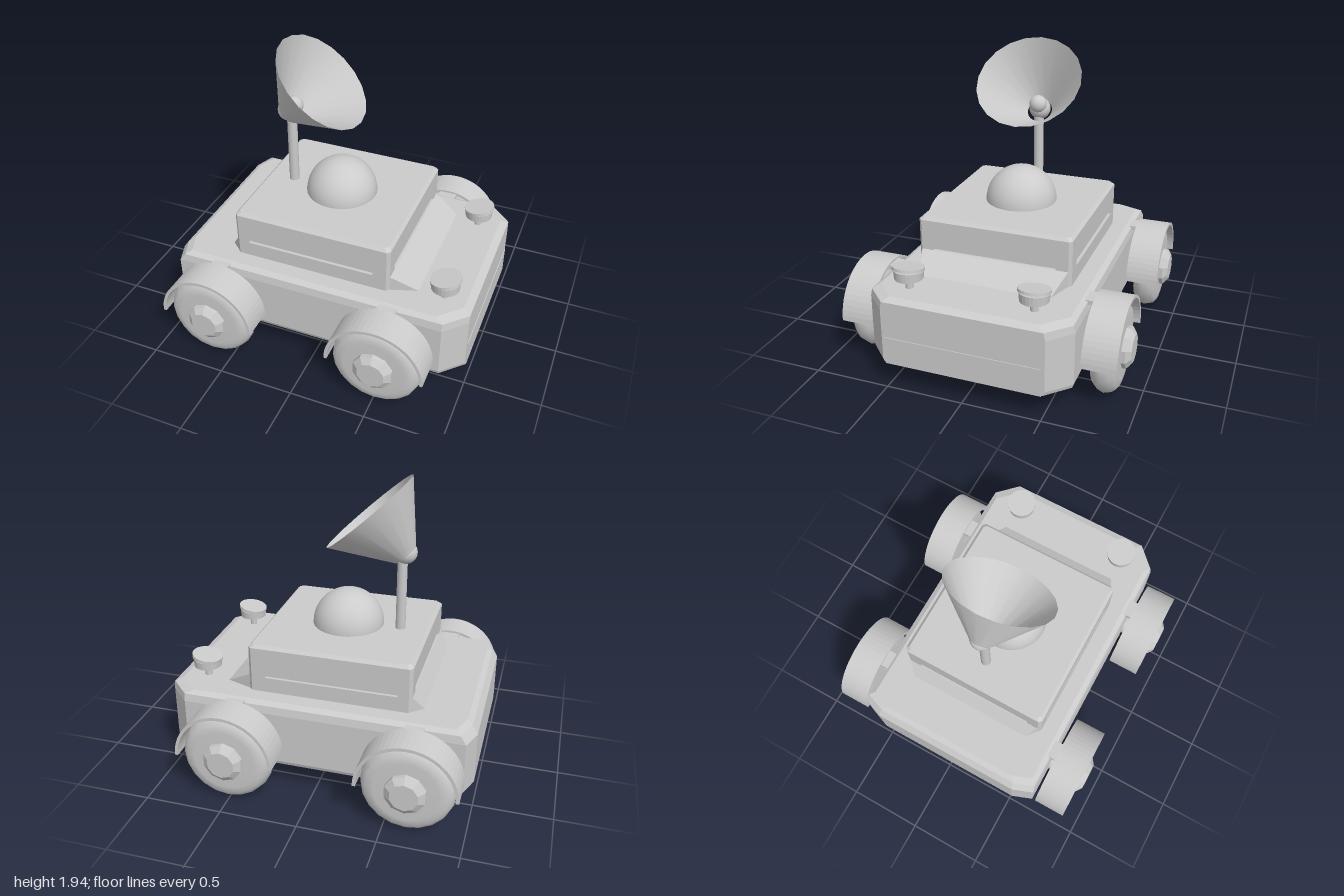
import * as THREE from 'three';
import { ConvexGeometry } from 'three/addons/geometries/ConvexGeometry.js';

const smooth = new THREE.MeshStandardMaterial({ color: 0xcccccc });
const flat = new THREE.MeshStandardMaterial({ color: 0xcccccc, flatShading: true });
const thin = new THREE.MeshStandardMaterial({ color: 0xcccccc, side: THREE.DoubleSide });

export function createModel() {
  const model = new THREE.Group();
  model.name = 'rover';

  const add = (name, geometry, x = 0, y = 0, z = 0, material = flat, parent = model) => {
    const mesh = new THREE.Mesh(geometry, material);
    mesh.name = name;
    mesh.position.set(x, y, z);
    parent.add(mesh);
    return mesh;
  };
  const box = (name, x0, x1, y0, y1, z0, z1) =>
    add(name, new THREE.BoxGeometry(x1 - x0, y1 - y0, z1 - z0), (x0 + x1) / 2, (y0 + y1) / 2, (z0 + z1) / 2);
  // Convex solid from points [x, y, z], each mirrored across z
  const hull = (name, points) =>
    add(name, new ConvexGeometry(points.flatMap(([x, y, z]) =>
      [new THREE.Vector3(x, y, z), new THREE.Vector3(x, y, -z)])));

  // Chassis: stacked outlines with cut corners and a bevelled top
  const outline = (y, rear, front, side) => [
    [-1 + rear, y, 0.52 - side], [-0.95 + rear, y, 0.655 - side],
    [0.86 - front, y, 0.655 - side], [0.995 - front, y, 0.52 - side],
  ];
  hull('chassis', [
    ...outline(0.185, 0.01, 0, 0.01), ...outline(0.21, 0, 0, 0),
    ...outline(0.55, 0, 0, 0), ...outline(0.6, 0.035, 0, 0.01), ...outline(0.62, 0.07, 0.05, 0.045),
  ]);
  box('nosePlate', 0.33, 1, 0.18, 0.36, -0.5, 0.5);

  // Cabin: lower band, recessed slot level with corner posts, bevelled upper part
  const b = 0.02;
  const ring = (y, inset) => [
    [-0.59 + inset, y, 0.51 - b - inset], [-0.59 + b + inset, y, 0.51 - inset],
    [0.47 - b - inset, y, 0.51 - inset], [0.47 - inset, y, 0.51 - b - inset],
  ];
  hull('cabinLower', [...ring(0.6, 0), ...ring(0.72, 0)]);
  hull('cabinUpper', [...ring(0.76, 0), ...ring(0.92, 0), ...ring(0.94, 0.02)]);
  box('slotBack', -0.57, 0.45, 0.72, 0.76, -0.49, 0.49);
  for (const s of [-1, 1]) for (const [x0, x1, xc] of [[-0.57, -0.5, -0.59], [0.36, 0.45, 0.47]]) {
    const zs = [0.41 * s, 0.51 * s];
    const pts = [];
    for (const y of [0.72, 0.76]) {
      for (const x of [x0, x1]) pts.push(new THREE.Vector3(x, y, zs[1]));
      pts.push(new THREE.Vector3(xc, y, 0.49 * s), new THREE.Vector3(xc, y, zs[0]));
      pts.push(new THREE.Vector3(xc < 0 ? x1 : x0, y, zs[0]));
    }
    add('cabinPost', new ConvexGeometry(pts));
  }

  // Sloping wedges before and behind the cabin
  for (const [name, near, far] of [['frontWedge', 0.47, 0.65], ['rearWedge', -0.59, -0.66]])
    hull(name, [[near, 0.61, 0.49], [near, 0.72, 0.49], [far, 0.615, 0.43]]);

  // Roof dome
  add('roofDome', new THREE.SphereGeometry(0.235, 32, 12, 0, Math.PI * 2, 0, Math.PI / 2), -0.05, 0.938, 0, smooth);

  // Mast and dish
  add('mast', new THREE.CylinderGeometry(0.033, 0.033, 0.5, 16), -0.4, 1.18, 0, smooth);
  const axis = new THREE.Vector3(0.67, 0.74, 0).normalize();
  const dish = add('dish', new THREE.CylinderGeometry(0.352, 0.085, 0.355, 20, 1, true), -0.298, 1.58, 0, thin);
  dish.quaternion.setFromUnitVectors(new THREE.Vector3(0, 1, 0), axis);
  add('dishJoint', new THREE.SphereGeometry(0.073, 20, 14), -0.42, 1.465, 0, smooth);
  add('dishReceiver', new THREE.SphereGeometry(0.06, 20, 14), -0.38, 1.505, 0, smooth);

  // Lamps: stalk, drum with a sloping top, tilted lid
  for (const z of [-0.39, 0.415]) {
    add('lampStalk', new THREE.CylinderGeometry(0.024, 0.024, 0.09, 12), 0.805, 0.655, z, smooth);
    const drum = new THREE.CylinderGeometry(0.094, 0.09, 0.05, 24);
    const p = drum.attributes.position;
    for (let i = 0; i < p.count; i++) if (p.getY(i) > 0) p.setY(i, 0.025 + Math.max(0, p.getX(i)) * 0.12);
    add('lampDrum', drum, 0.805, 0.715, z);
    const lid = add('lampLid', new THREE.CylinderGeometry(0.1, 0.1, 0.018, 24), 0.805, 0.756, z);
    lid.rotation.z = 0.18;
  }

  // Wheels, hubs, axles and arches; each is built facing +z
  const lathe = (pts, sides) =>
    new THREE.LatheGeometry(pts.map(([r, h]) => new THREE.Vector2(r, h)), sides).rotateX(Math.PI / 2);
  const tyre = lathe([[0, 0.71], [0.2, 0.71], [0.25, 0.72], [0.28, 0.75], [0.295, 0.79],
    [0.28, 0.84], [0.25, 0.865], [0.2, 0.875], [0, 0.875]], 20);
  const hub = lathe([[0.13, 0.86], [0.13, 0.9], [0.09, 0.93], [0, 0.93]], 10);
  const axle = new THREE.CylinderGeometry(0.08, 0.08, 0.16, 12).rotateX(Math.PI / 2);
  const arc = new THREE.Shape();
  arc.absarc(0, 0, 0.32, 0, Math.PI, false);
  arc.absarc(0, 0, 0.3, Math.PI, 0, true);
  const arch = new THREE.ExtrudeGeometry(arc, { depth: 0.215, bevelEnabled: false, curveSegments: 14 });
  for (const x of [-0.64, 0.51]) for (const s of [1, -1]) {
    const wheel = new THREE.Group();
    wheel.name = 'wheel';
    wheel.position.set(x, 0.305, 0);
    if (s < 0) wheel.rotation.y = Math.PI;
    model.add(wheel);
    add('tyre', tyre, 0, 0, 0, smooth, wheel);
    add('hub', hub, 0, 0, 0, flat, wheel);
    add('axle', axle, 0, 0, 0.68, smooth, wheel);
    add('wheelArch', arch, 0, 0, 0.682, flat, wheel);
    add('archMount', new THREE.BoxGeometry(0.12, 0.03, 0.09), 0, 0.29, 0.66, flat, wheel);
  }
  return model;
}
